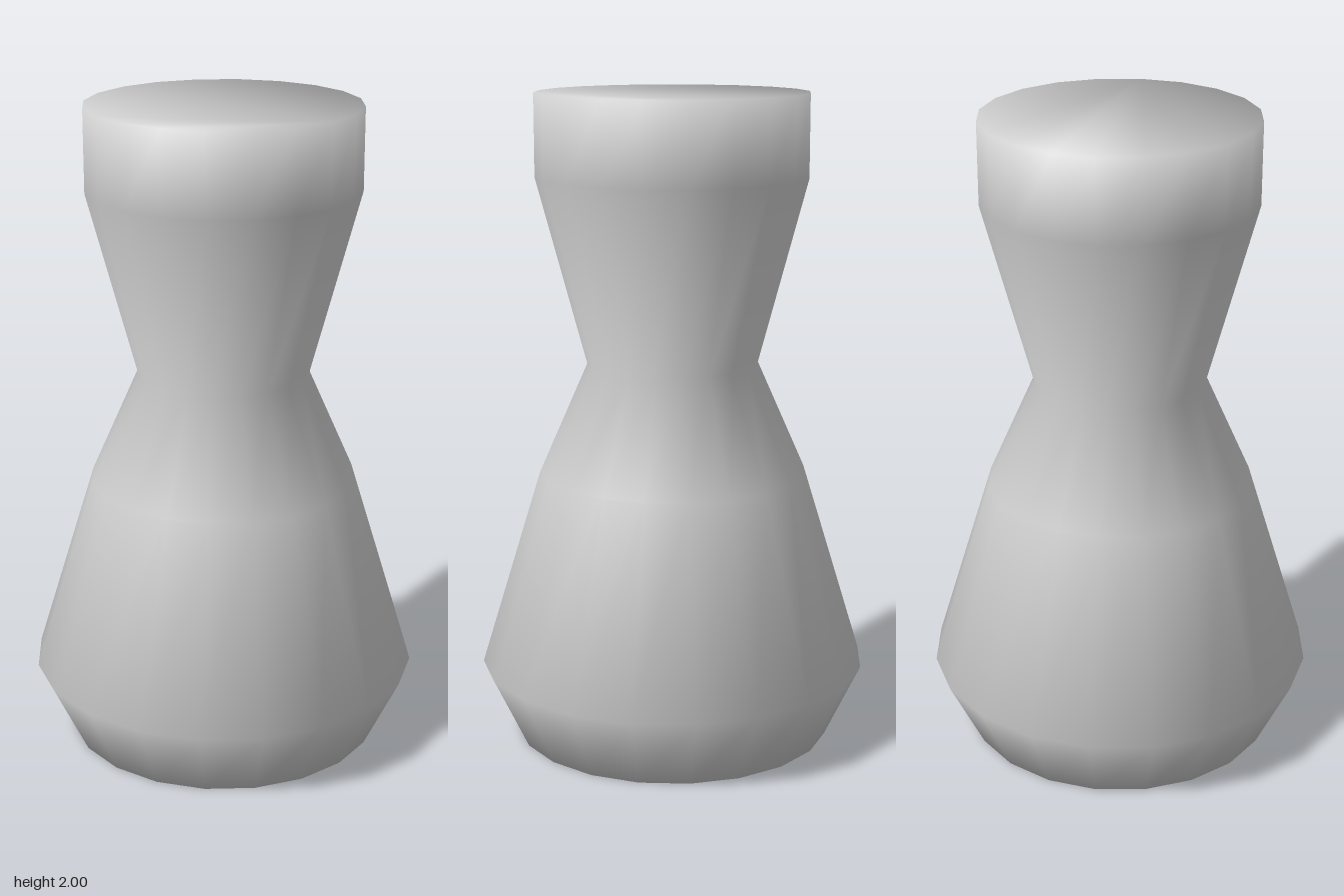
import * as THREE from 'three';

const SIDES = 20;

// Silhouette from base edge to top edge: [radius, height]
const PROFILE = [[0.49, 0], [0.6, 0.23], [0.413, 0.84], [0.263, 1.18], [0.415, 1.75], [0.415, 2]];

// Closed solid of revolution with normals blended over every edge, caps included
function turnedSolid(profile, sides) {
  const rows = profile.length;
  const slopes = [new THREE.Vector2(0, -1)]; // base cap
  for (let j = 0; j < rows - 1; j++) {
    const [r0, y0] = profile[j], [r1, y1] = profile[j + 1];
    slopes.push(new THREE.Vector2(y1 - y0, r0 - r1).normalize());
  }
  slopes.push(new THREE.Vector2(0, 1)); // top cap

  const positions = [], normals = [], index = [];
  profile.forEach(([r, y], j) => {
    const n = slopes[j].clone().add(slopes[j + 1]).normalize();
    for (let i = 0; i < sides; i++) {
      const a = (i / sides) * Math.PI * 2;
      positions.push(r * Math.sin(a), y, r * Math.cos(a));
      normals.push(n.x * Math.sin(a), n.y, n.x * Math.cos(a));
    }
  });

  // Side walls
  for (let j = 0; j < rows - 1; j++) {
    for (let i = 0; i < sides; i++) {
      const a = j * sides + i, b = j * sides + (i + 1) % sides;
      index.push(a, b, b + sides, a, b + sides, a + sides);
    }
  }
  // Flat base and top
  const top = (rows - 1) * sides;
  for (let i = 1; i < sides - 1; i++) {
    index.push(0, i + 1, i);
    index.push(top, top + i, top + i + 1);
  }

  const geometry = new THREE.BufferGeometry();
  geometry.setAttribute('position', new THREE.Float32BufferAttribute(positions, 3));
  geometry.setAttribute('normal', new THREE.Float32BufferAttribute(normals, 3));
  geometry.setIndex(index);
  return geometry;
}

export function createModel() {
  const group = new THREE.Group();
  group.name = 'turnedPiece';

  const lightGrey = new THREE.MeshStandardMaterial({ color: 0xcccccc });
  lightGrey.name = 'lightGrey';

  const body = new THREE.Mesh(turnedSolid(PROFILE, SIDES), lightGrey);
  body.name = 'body';
  group.add(body);
  return group;
}
